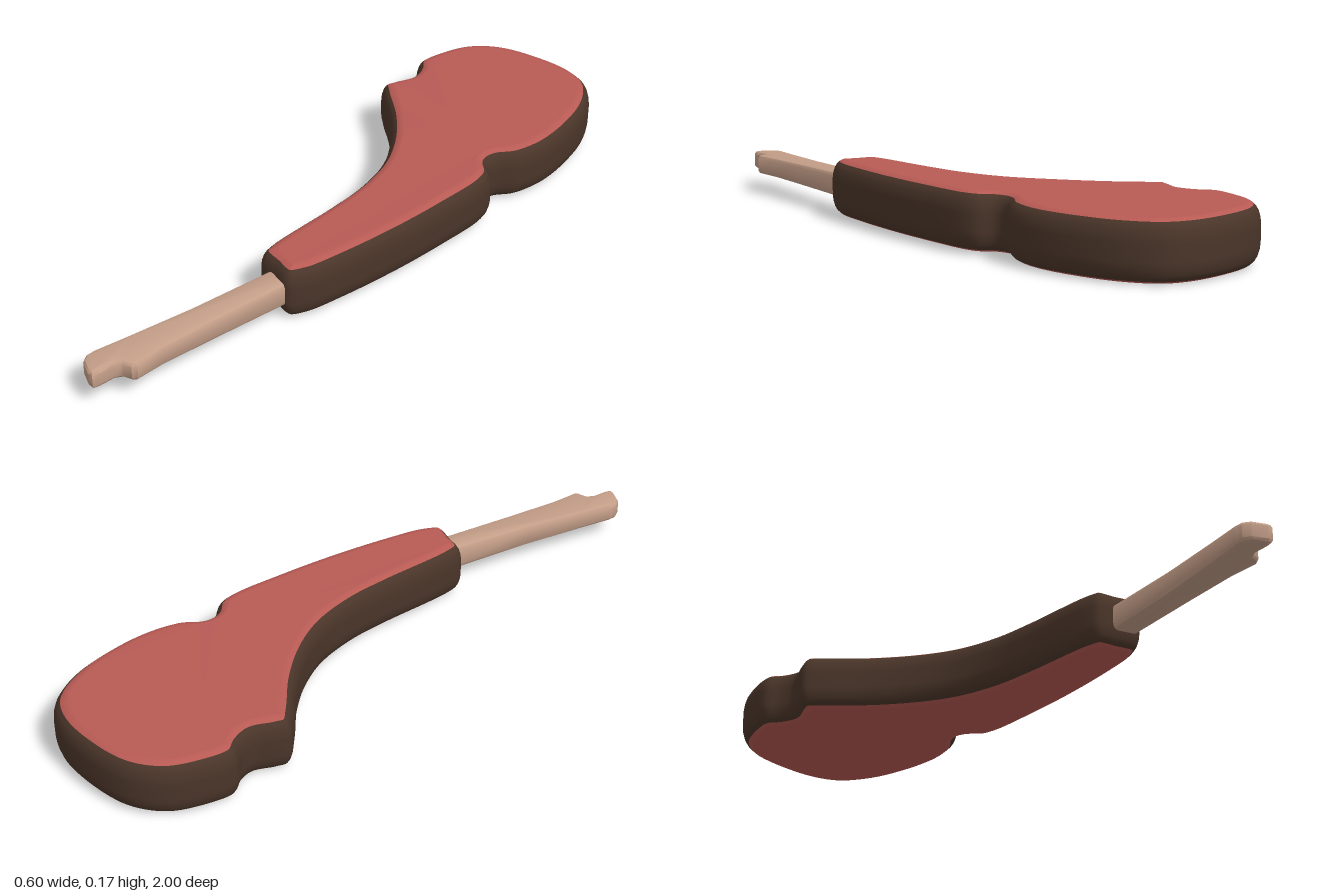
import * as THREE from 'three';
import { toCreasedNormals } from 'three/addons/utils/BufferGeometryUtils.js';

// Grip outline as x, z pairs, clockwise seen from above
const GRIP = [
  [0, -1], [0.12, -0.99], [0.2, -0.95], [0.262, -0.85], [0.292, -0.7], [0.29, -0.57], [0.262, -0.476],
  [0.222, -0.422], [0.222, -0.388], [0.258, -0.345], [0.27, -0.29], [0.256, -0.13], [0.23, 0.05],
  [0.187, 0.25], [0.153, 0.36], [0.115, 0.407], [0.05, 0.392], [-0.008, 0.372], [-0.02, 0.33],
  [-0.007, 0.08], [-0.006, -0.05], [-0.03, -0.185], [-0.085, -0.3], [-0.17, -0.41], [-0.265, -0.5],
  [-0.302, -0.545], [-0.29, -0.585], [-0.265, -0.64], [-0.275, -0.685], [-0.302, -0.73],
  [-0.288, -0.81], [-0.24, -0.91], [-0.15, -0.975],
];

// Blade outline with the notch beside its tip
const BLADE = [
  [0.13, 0.3], [0.11, 0.4], [0.062, 0.64], [0.03, 0.81], [0.022, 0.895], [0.012, 0.907], [-0.015, 0.913],
  [-0.028, 0.93], [-0.034, 0.975], [-0.042, 0.996], [-0.058, 0.995], [-0.098, 0.972], [-0.11, 0.95],
  [-0.108, 0.925], [-0.08, 0.83], [-0.026, 0.635], [0.03, 0.39], [0.05, 0.3],
];

const smoothOutline = (points, count) =>
  new THREE.CatmullRomCurve3(points.map(([x, z]) => new THREE.Vector3(x, 0, z)), true)
    .getPoints(count).slice(0, -1).map((p) => [p.x, p.z]);

// Skin an outline through rings of [inset, height], bottom to top, with optional flat caps.
// heightAt(z) gives [middle, half thickness]; reach widens the averaging of the inset direction.
function slab(outline, rings, heightAt, { reach = 1, bottom = false, top = false }) {
  const n = outline.length;
  const positions = [];
  const index = [];
  const inward = outline.map((_, i) => {
    const a = outline[(i + n - reach) % n];
    const b = outline[(i + reach) % n];
    const dx = b[0] - a[0], dz = b[1] - a[1], len = Math.hypot(dx, dz);
    return [-dz / len, dx / len];
  });
  const ringPoints = rings.map(([inset]) =>
    outline.map(([x, z], i) => new THREE.Vector2(x + inward[i][0] * inset, z + inward[i][1] * inset)));
  rings.forEach(([, h], r) => ringPoints[r].forEach((p) => {
    const [mid, half] = heightAt(p.y);
    positions.push(p.x, mid + h * half, p.y);
  }));
  for (let r = 0; r < rings.length - 1; r++) {
    for (let i = 0; i < n; i++) {
      const a = r * n + i, b = r * n + (i + 1) % n;
      index.push(a, a + n, b, b, a + n, b + n);
    }
  }
  const cap = (r, up) => {
    const pts = ringPoints[r];
    for (const [a, b, c] of THREE.ShapeUtils.triangulateShape(pts, [])) {
      const cross = (pts[b].x - pts[a].x) * (pts[c].y - pts[a].y) - (pts[b].y - pts[a].y) * (pts[c].x - pts[a].x);
      const tri = (cross < 0) === up ? [a, b, c] : [a, c, b];
      index.push(...tri.map((v) => v + r * n));
    }
  };
  if (bottom) cap(0, false);
  if (top) cap(rings.length - 1, true);
  const geometry = new THREE.BufferGeometry();
  geometry.setAttribute('position', new THREE.Float32BufferAttribute(positions, 3));
  geometry.setIndex(index);
  geometry.computeVertexNormals();
  return geometry;
}

export function createModel() {
  const group = new THREE.Group();
  const add = (name, geometry, color) => {
    const mesh = new THREE.Mesh(geometry, new THREE.MeshStandardMaterial({ color }));
    mesh.name = name;
    group.add(mesh);
  };

  // The handle sits slightly higher than the rounded head
  const gripHeight = (z) => [0.084 + 0.006 * THREE.MathUtils.smoothstep(z, -0.6, -0.3), 0.084];
  const grip = smoothOutline(GRIP, 240);

  // Dark rounded side wall
  const halfWall = [[0, 0.3], [0.002, 0.5], [0.007, 0.7], [0.013, 0.82], [0.021, 0.91]];
  const wall = [...halfWall.map(([d, h]) => [d, -h]).reverse(), ...halfWall];
  add('gripSide', slab(grip, wall, gripHeight, { reach: 3 }), 0x4a3529);

  // Red faces, rolling over into the side wall
  const face = [[0.021, 0.91], [0.028, 0.96], [0.036, 0.99], [0.042, 1]];
  add('gripTop', slab(grip, face, gripHeight, { reach: 3, top: true }), 0xb85a54);
  const under = face.map(([d, h]) => [d, -h]).reverse();
  add('gripBottom', slab(grip, under, gripHeight, { reach: 3, bottom: true }), 0xb85a54);

  // Blade with softened edges, thinning towards the tip
  const bladeHeight = (z) => [0.091, 0.038 - 0.016 * (z - 0.4)];
  const bladeRings = [[0.014, -1], [0.005, -0.9], [0, -0.65], [0, 0.65], [0.005, 0.9], [0.014, 1]];
  const blade = slab(BLADE, bladeRings, bladeHeight, { bottom: true, top: true });
  add('blade', toCreasedNormals(blade, 0.6), 0xc49e88);

  return group;
}
